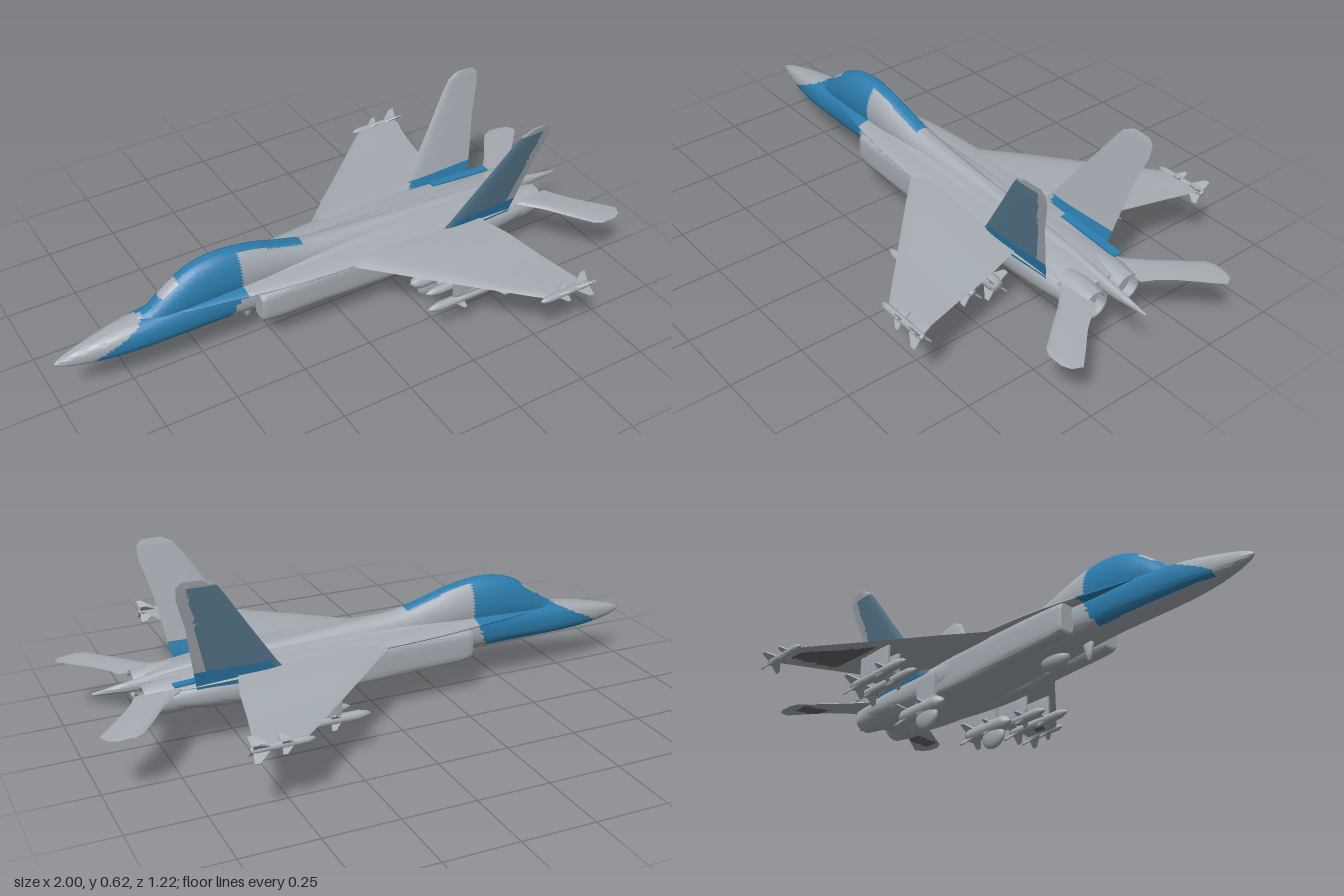
import * as THREE from 'three';
import { toCreasedNormals, mergeGeometries } from 'three/addons/utils/BufferGeometryUtils.js';

const mat = (name, color) => Object.assign(new THREE.MeshStandardMaterial({ color }), { name });

// Resample station rows: straight, or smooth along a spline
function sample(rows, steps, smooth) {
  const out = [], n = rows.length;
  for (let i = 0; i < n - 1; i++) {
    for (let k = 0; k < steps; k++) {
      const t = k / steps;
      out.push(rows[i].map((b, c) => {
        const d = rows[i + 1][c];
        if (!smooth) return b + (d - b) * t;
        const a = rows[Math.max(i - 1, 0)][c], e = rows[Math.min(i + 2, n - 1)][c];
        const m0 = (d - a) / 2, m1 = (e - b) / 2;
        return b + m0 * t + (3 * (d - b) - 2 * m0 - m1) * t * t + (2 * (b - d) + m0 + m1) * t * t * t;
      }));
    }
  }
  out.push(rows[n - 1]);
  return out;
}

// Closed skin through rings of points; paint(centre, normal) picks a material index
function skin(rings, paint = () => 0) {
  const pts = rings.flat(), m = rings[0].length, tris = [];
  for (let i = 0; i < rings.length - 1; i++) {
    for (let j = 0; j < m; j++) {
      const a = i * m + j, b = i * m + (j + 1) % m;
      tris.push([a, b, a + m], [b, b + m, a + m]);
    }
  }
  [0, rings.length - 1].forEach((r, end) => {
    const c = new THREE.Vector3();
    rings[r].forEach(p => c.addScaledVector(p, 1 / m));
    pts.push(c);
    for (let j = 0; j < m; j++) {
      const a = r * m + j, b = r * m + (j + 1) % m;
      tris.push(end ? [a, b, pts.length - 1] : [b, a, pts.length - 1]);
    }
  });
  // Turn the skin outward if its signed volume is negative
  const mid = rings[rings.length >> 1][0], v = new THREE.Vector3(), w = new THREE.Vector3(), q = new THREE.Vector3();
  let volume = 0;
  for (const [a, b, c] of tris) {
    volume += v.subVectors(pts[a], mid).dot(w.subVectors(pts[b], mid).cross(q.subVectors(pts[c], mid)));
  }
  const buckets = [[], [], [], []], tri = new THREE.Triangle();
  for (const t of tris) {
    if (volume < 0) t.reverse();
    tri.set(pts[t[0]], pts[t[1]], pts[t[2]]);
    if (tri.getArea() < 1e-10) continue;
    buckets[paint(tri.getMidpoint(new THREE.Vector3()), tri.getNormal(new THREE.Vector3()))].push(...t);
  }
  const geo = new THREE.BufferGeometry().setFromPoints(pts);
  geo.setIndex(buckets.flat());
  let start = 0;
  buckets.forEach((b, i) => { if (b.length) geo.addGroup(start, b.length, i); start += b.length; });
  return toCreasedNormals(geo, 0.7);
}

// Body along x: rows are [x, bottom, top, half width]; power squares the section
function hull(rows, { z = 0, power = 2, paint, steps = 8, sides = 48, smooth = true } = {}) {
  return skin(sample(rows, steps, smooth).map(([x, lo, hi, hw]) => Array.from({ length: sides }, (_, i) => {
    const a = i / sides * Math.PI * 2, c = Math.cos(a), s = Math.sin(a);
    const f = k => Math.sign(k) * Math.abs(k) ** (2 / power);
    return new THREE.Vector3(x, (lo + hi) / 2 + f(s) * (hi - lo) / 2, z + f(c) * hw);
  })), paint);
}

// Aerofoil surface: rows are [y, z, leading x, trailing x, thickness]
function foil(rows, side, upright, paint) {
  const half = 14;
  return skin(sample(rows, 6, false).map(([y, z, le, te, t]) => Array.from({ length: half * 2 }, (_, i) => {
    const u = i <= half ? i / half : 2 - i / half;
    const h = (i < half ? 1 : -1) * t / 2 * Math.sin(Math.PI * Math.sqrt(u));
    const x = le + (te - le) * u;
    return upright ? new THREE.Vector3(x, y, side * (z + h)) : new THREE.Vector3(x, y + h, side * z);
  })), paint);
}

// Pointed missile along x with two sets of crossed fins
function missile(x0, x1, r, span) {
  const L = x1 - x0;
  const body = new THREE.LatheGeometry([[0, 0], [r * 0.6, 0.05], [r, 0.14], [r, 0.92], [r * 0.7, 1], [0, 1]]
    .map(([a, b]) => new THREE.Vector2(a, b * L)), 14).rotateZ(-Math.PI / 2).translate(x0, 0, 0);
  const fin = (a, len, s) => {
    const sh = new THREE.Shape([[0, 0], [len * 0.75, s], [len, s], [len * 0.9, 0]].map(p => new THREE.Vector2(...p)));
    return new THREE.ExtrudeGeometry(sh, { depth: 0.005, bevelEnabled: false })
      .translate(a, 0, -0.0025);
  };
  const parts = [body.toNonIndexed()];
  for (let i = 0; i < 4; i++) {
    const angle = Math.PI / 4 + i * Math.PI / 2;
    parts.push(fin(x1 - 0.07, 0.07, span).rotateX(angle), fin(x0 + L * 0.3, 0.05, span * 0.75).rotateX(angle));
  }
  return mergeGeometries(parts);
}

export function createModel() {
  const grey = mat('airframe grey', 0xa6acb3), blue = mat('camouflage blue', 0x2c7dae);
  const slate = mat('fin slate blue', 0x5a7c92), dark = mat('underside dark grey', 0x64686c);
  const paints = [grey, blue, slate, dark];
  const model = new THREE.Group();
  model.name = 'fighterJet';
  const add = (name, geo, material = paints, parent = model) => {
    const mesh = new THREE.Mesh(geo, material);
    mesh.name = name;
    parent.add(mesh);
    return mesh;
  };

  // Blue nose and canopy, with a narrow stripe along the spine
  const nosePaint = ({ x, y, z }) => {
    if (y > 0.3 && Math.abs(z) < 0.024 && x > -0.64 && x < -0.575) return 0;
    if (y > 0.3 && Math.abs(z) < 0.024 && x > -0.4 && x < -0.12) return 1;
    const front = -0.87 + Math.max(0, y - 0.17) * 2;
    const back = y < 0.25 ? -0.42 + Math.max(0, y - 0.15) * 0.5 : -0.365;
    return y > 0.15 && x > Math.min(front, -0.7) && x < back ? 1 : 0;
  };

  add('fuselage', hull([
    [-1, 0.176, 0.184, 0.003], [-0.97, 0.163, 0.198, 0.015], [-0.9, 0.15, 0.217, 0.032], [-0.8, 0.142, 0.238, 0.05],
    [-0.7, 0.14, 0.252, 0.06], [-0.55, 0.14, 0.268, 0.065], [-0.4, 0.14, 0.278, 0.07], [-0.2, 0.134, 0.282, 0.085],
    [0, 0.13, 0.28, 0.105], [0.2, 0.12, 0.276, 0.125], [0.4, 0.115, 0.268, 0.132], [0.6, 0.128, 0.258, 0.132],
    [0.72, 0.145, 0.245, 0.122], [0.77, 0.158, 0.235, 0.11]], { power: 2.5, paint: nosePaint, steps: 10 }));

  add('canopyAndSpine', hull([
    [-0.76, 0.2, 0.236, 0.02], [-0.68, 0.19, 0.268, 0.036], [-0.62, 0.19, 0.315, 0.045], [-0.55, 0.19, 0.362, 0.052],
    [-0.48, 0.19, 0.385, 0.056], [-0.4, 0.19, 0.39, 0.058], [-0.3, 0.19, 0.375, 0.058], [-0.2, 0.19, 0.346, 0.055],
    [-0.1, 0.19, 0.32, 0.052], [0.05, 0.19, 0.305, 0.046], [0.3, 0.19, 0.288, 0.036], [0.6, 0.19, 0.268, 0.024],
    [0.8, 0.195, 0.24, 0.016], [0.95, 0.208, 0.216, 0.003]], { paint: nosePaint, steps: 10 }));

  // Flat root extensions that blend the nose into the wings
  add('wingRootExtension', hull([
    [-0.58, 0.235, 0.255, 0.055], [-0.45, 0.232, 0.262, 0.082], [-0.35, 0.232, 0.266, 0.1], [-0.2, 0.232, 0.27, 0.125],
    [0, 0.232, 0.272, 0.142], [0.25, 0.23, 0.27, 0.15], [0.5, 0.22, 0.26, 0.14], [0.7, 0.215, 0.24, 0.12]],
  { paint: nosePaint }));

  // Belly fairing and blade aerial
  add('bellyFairing', new THREE.SphereGeometry(1, 20, 12).scale(0.062, 0.035, 0.03).translate(-0.17, 0.13, 0), grey);
  add('bladeAerial', hull([[-0.345, 0.125, 0.15, 0.004], [-0.335, 0.085, 0.15, 0.008], [-0.32, 0.08, 0.15, 0.008],
    [-0.305, 0.12, 0.15, 0.004]], { sides: 12, steps: 3 }));

  for (const side of [1, -1]) {
    const half = new THREE.Group();
    half.name = side > 0 ? 'farSide' : 'nearSide';
    half.name = side > 0 ? 'positiveZSide' : 'negativeZSide';
    model.add(half);
    const put = (name, geo, material) => add(name, geo, material, half);

    put('airIntake', hull([[-0.33, 0.15, 0.24, 0.026], [-0.3, 0.137, 0.245, 0.03], [-0.1, 0.132, 0.25, 0.034],
      [0.2, 0.122, 0.25, 0.034], [0.5, 0.14, 0.24, 0.02]], { z: side * 0.093, power: 4 }));

    // Exhaust: open ring with a recessed disc
    put('engineNozzle', toCreasedNormals(new THREE.LatheGeometry([[0.056, 0], [0.056, 0.06], [0.046, 0.13],
      [0.04, 0.13], [0.037, 0.1], [0, 0.1]].map(p => new THREE.Vector2(...p)), 32), 0.5)
      .rotateZ(-Math.PI / 2).translate(0.68, 0.193, side * 0.066), grey);

    // Wing, with a dark patch underneath near the tip
    const le = z => z * 1.07 - 0.15;
    put('wing', foil([[0.25, 0.09, -0.05, 0.51, 0.03], [0.25, 0.14, 0, 0.52, 0.028], [0.245, 0.25, 0.115, 0.555, 0.022],
      [0.235, 0.4, 0.278, 0.585, 0.016], [0.228, 0.55, 0.44, 0.62, 0.012], [0.226, 0.59, 0.49, 0.63, 0.008]], side, false,
    (c, n) => {
      const z = Math.abs(c.z);
      return n.y < 0 && z > 0.38 && z < 0.55 && c.x > le(z) + 0.05 && c.x < 0.55 ? 3 : 0;
    }));

    put('tailplane', foil([[0.222, 0.09, 0.66, 0.84, 0.02], [0.222, 0.13, 0.72, 0.86, 0.016],
      [0.22, 0.18, 0.768, 0.895, 0.014], [0.216, 0.25, 0.82, 0.96, 0.012], [0.213, 0.295, 0.855, 1, 0.01],
      [0.212, 0.325, 0.878, 0.985, 0.008], [0.211, 0.338, 0.905, 0.955, 0.005]], side, false,
    (c, n) => n.y < 0 && Math.abs(c.z) > 0.2 && Math.abs(c.z) < 0.3 && c.x > 0.86 && c.x < 0.93 ? 3 : 0));

    // Canted fin: slate outside with a blue foot and grey edges
    put('tailFin', foil([[0.22, 0.122, 0.34, 0.65, 0.018], [0.25, 0.128, 0.365, 0.655, 0.018],
      [0.285, 0.137, 0.392, 0.662, 0.016], [0.45, 0.176, 0.503, 0.692, 0.013], [0.56, 0.202, 0.575, 0.724, 0.01],
      [0.6, 0.211, 0.605, 0.725, 0.009], [0.617, 0.215, 0.64, 0.708, 0.006]], side, true,
    (c, n) => {
      const trailing = 0.65 + (c.y - 0.25) * 0.23;
      if (c.y < 0.287 && c.x > 0.4) return 1;
      return n.z * side > 0 && c.x < trailing - 0.035 && c.y < 0.595 ? 2 : 0;
    }));

    // Wing stores
    put('tipMissile', missile(0.44, 0.64, 0.012, 0.042).translate(0, 0.225, side * 0.578), grey);
    for (const [z, x0, x1] of [[0.35, 0.16, 0.47], [0.28, 0.2, 0.5]]) {
      put('wingMissile', missile(x0, x1, 0.016, 0.048).translate(0, 0.145, side * z), grey);
      put('wingPylon', hull([[x0 + 0.1, 0.15, 0.238, 0.004], [x0 + 0.14, 0.15, 0.238, 0.008],
        [x0 + 0.26, 0.15, 0.238, 0.004]], { z: side * z, power: 6, sides: 24, steps: 3 }));
    }
    put('pylonBeam', new THREE.BoxGeometry(0.12, 0.012, 0.09).translate(0.36, 0.165, side * 0.315), grey);

    // Body-side store with a hanging pod
    put('bodyStore', missile(0.23, 0.46, 0.026, 0.055).translate(0, 0.08, side * 0.145), grey);
    put('hangingPod', new THREE.SphereGeometry(1, 20, 14).scale(0.058, 0.045, 0.018).translate(0.32, 0.045, side * 0.145), grey);
    put('bodyPylon', new THREE.BoxGeometry(0.1, 0.1, 0.012).translate(0.34, 0.145, side * 0.135), grey);
  }

  // Blue patch beside one fin
  add('rearPaintPatch', new THREE.BoxGeometry(0.24, 0.006, 0.03).rotateZ(-0.06).translate(0.6, 0.25, -0.108), blue);
  return model;
}
